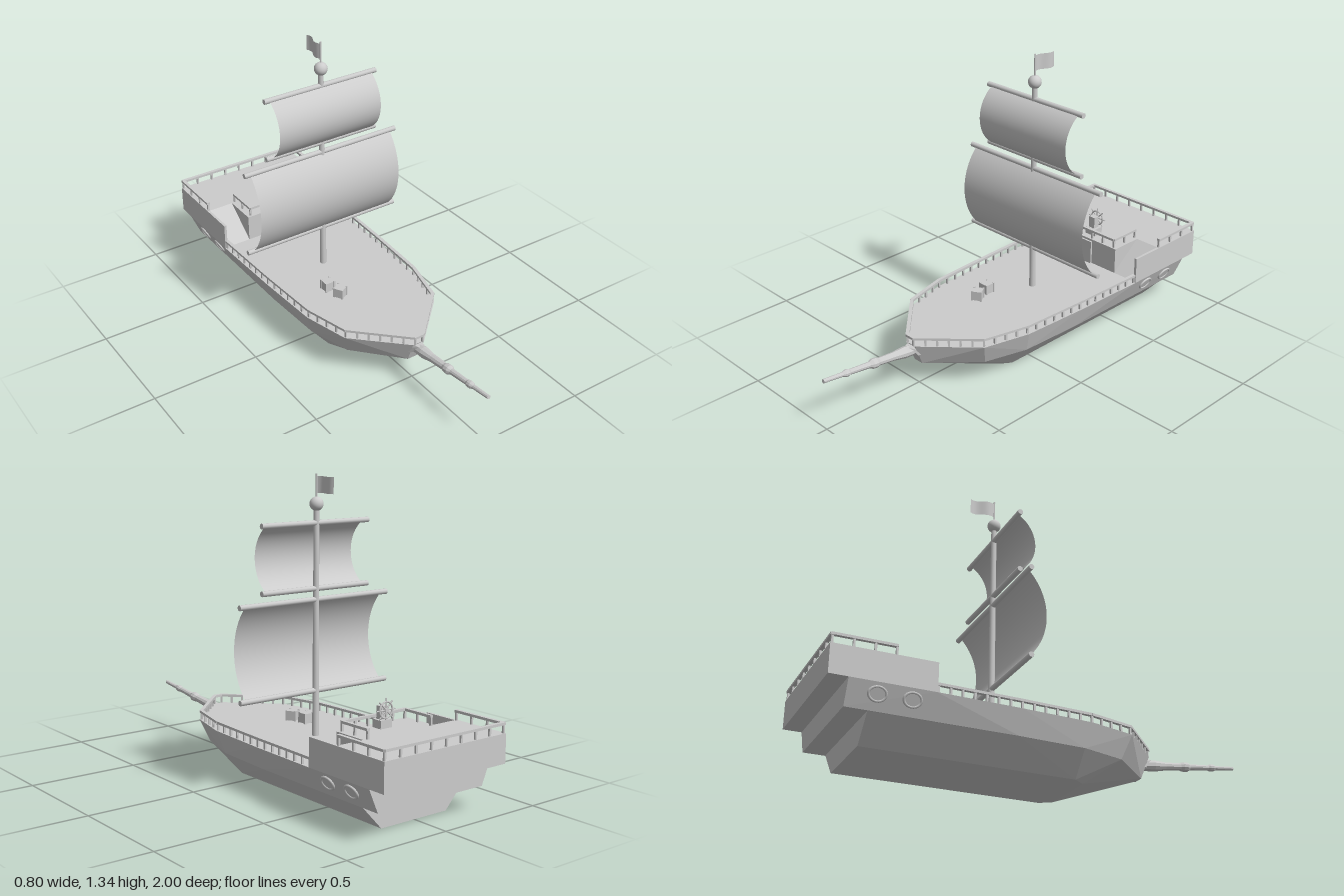
import * as THREE from 'three';
import { ConvexGeometry } from 'three/addons/geometries/ConvexGeometry.js';

const flat = new THREE.MeshStandardMaterial({ color: 0xcccccc, flatShading: true });
const smooth = new THREE.MeshStandardMaterial({ color: 0xcccccc });
const cloth = new THREE.MeshStandardMaterial({ color: 0xcccccc, side: THREE.DoubleSide });

const MAST_Z = -0.205, DECK = 0.21, POOP = 0.335;

function add(parent, name, geometry, material, x = 0, y = 0, z = 0) {
  const mesh = new THREE.Mesh(geometry, material);
  mesh.name = name;
  mesh.position.set(x, y, z);
  parent.add(mesh);
  return mesh;
}

function box(parent, name, w, h, d, x, y, z) {
  return add(parent, name, new THREE.BoxGeometry(w, h, d), flat, x, y, z);
}

// Closed solid between waterlines; each waterline is [y, [halfWidth, z], ...]
function hullBlock(parent, name, waterlines) {
  const points = [];
  for (const [y, ...stations] of waterlines)
    for (const [w, z] of stations)
      for (const s of [-1, 1]) points.push(new THREE.Vector3(s * w, y, z));
  return add(parent, name, new ConvexGeometry(points), flat);
}

// Handrail with posts along a path of [x, z] points
function railing(parent, name, path, y, height, spacing, width) {
  const group = new THREE.Group();
  group.name = name;
  parent.add(group);
  for (let i = 0; i + 1 < path.length; i++) {
    const [x0, z0] = path[i], [x1, z1] = path[i + 1];
    const length = Math.hypot(x1 - x0, z1 - z0);
    const angle = Math.atan2(x1 - x0, z1 - z0);
    const rail = box(group, 'handrail', width, 0.011, length + width * 0.5,
      (x0 + x1) / 2, y + height - 0.0055, (z0 + z1) / 2);
    rail.rotation.y = angle;
    const n = Math.max(1, Math.round(length / spacing));
    const last = i + 2 === path.length ? n : n - 1;
    for (let k = 0; k <= last; k++) {
      const t = k / n;
      const post = box(group, 'railPost', 0.009, height - 0.01, 0.009,
        x0 + (x1 - x0) * t, y + (height - 0.01) / 2, z0 + (z1 - z0) * t);
      post.rotation.y = angle;
    }
  }
}

// Sail bulging forward between two yards
function sail(parent, name, halfWidth, yardHalf, y0, y1, bulge) {
  const geo = new THREE.PlaneGeometry(halfWidth * 2, y1 - y0, 1, 24);
  const pos = geo.attributes.position, h = (y1 - y0) / 2;
  const R = (h * h + bulge * bulge) / (2 * bulge);
  const half = Math.asin(h / R);
  for (let i = 0; i < pos.count; i++) {
    const a = (pos.getY(i) / h) * half;
    pos.setY(i, R * Math.sin(a));
    pos.setZ(i, R * Math.cos(a) - R + bulge);
  }
  geo.computeVertexNormals();
  add(parent, name, geo, cloth, 0, (y0 + y1) / 2, MAST_Z);
  for (const y of [y0, y1]) {
    const yard = add(parent, 'yard', new THREE.CylinderGeometry(0.012, 0.012, yardHalf * 2, 10), smooth, 0, y, MAST_Z);
    yard.rotation.z = Math.PI / 2;
  }
}

export function createModel() {
  const ship = new THREE.Group();
  ship.name = 'sailingShip';

  // Hull in two stepped blocks
  hullBlock(ship, 'lowerHull', [
    [0, [0.175, -0.825], [0.175, 0.1], [0.14, 0.15]],
    [0.107, [0.275, -0.825], [0.275, -0.2], [0.262, 0.1], [0.205, 0.3], [0.025, 0.495]],
  ]);
  hullBlock(ship, 'upperHull', [
    [0.107, [0.28, -0.92], [0.277, -0.2], [0.264, 0.1], [0.207, 0.3], [0.025, 0.5]],
    [DECK, [0.325, -0.92], [0.325, -0.57], [0.315, -0.2], [0.298, 0.12], [0.243, 0.335], [0.03, 0.54]],
  ]);

  // Raised stern deck with two stair wells
  const outline = [[-0.325, -1], [0.325, -1], [0.325, -0.565], [0.313, -0.565], [0.313, -0.73], [0.19, -0.73],
    [0.19, -0.57], [-0.19, -0.57], [-0.19, -0.73], [-0.313, -0.73], [-0.313, -0.565], [-0.325, -0.565]];
  const deckShape = new THREE.Shape(outline.map(([x, z]) => new THREE.Vector2(x, z)));
  const deckGeo = new THREE.ExtrudeGeometry(deckShape, { depth: POOP - DECK, bevelEnabled: false });
  deckGeo.rotateX(Math.PI / 2);
  add(ship, 'sternDeck', deckGeo, flat, 0, POOP, 0);

  // Ramps from the main deck up to the stern deck
  const rampShape = new THREE.Shape([[-0.73, DECK], [-0.57, DECK], [-0.73, POOP]].map((p) => new THREE.Vector2(...p)));
  const rampGeo = new THREE.ExtrudeGeometry(rampShape, { depth: 0.123, bevelEnabled: false });
  rampGeo.rotateY(-Math.PI / 2);
  add(ship, 'leftRamp', rampGeo, flat, 0.313, 0, 0);
  add(ship, 'rightRamp', rampGeo, flat, -0.19, 0, 0);
  box(ship, 'cabinDoor', 0.09, 0.115, 0.012, 0, DECK + 0.0575, -0.567);

  // Portholes lying on the sloped sides
  const ring = new THREE.TorusGeometry(0.035, 0.006, 8, 24);
  const pane = new THREE.CircleGeometry(0.034, 24);
  for (const s of [-1, 1])
    for (const z of [-0.66, -0.8]) {
      const port = new THREE.Group();
      port.name = 'porthole';
      port.position.set(s * 0.308, 0.167, z);
      port.rotation.set(0, s * Math.PI / 2, 0);
      port.rotateX(0.41);
      port.scale.set(1, 0.8, 1);
      add(port, 'portholeRing', ring, smooth);
      add(port, 'portholePane', pane, flat, 0, 0, 0.002);
      ship.add(port);
    }

  // Railings
  const side = [[0.315, -0.56], [0.305, -0.2], [0.288, 0.12], [0.235, 0.33], [0.02, 0.54]];
  const mirrored = side.map(([x, z]) => [-x, z]).reverse();
  railing(ship, 'mainRailing', [...side, ...mirrored], DECK, 0.042, 0.052, 0.016);
  railing(ship, 'sternRailing', [[0.317, -0.735], [0.317, -0.992], [-0.317, -0.992], [-0.317, -0.735]], POOP, 0.045, 0.075, 0.016);
  railing(ship, 'helmRailing', [[0.17, -0.735], [0.17, -0.582], [-0.17, -0.582], [-0.17, -0.735]], POOP, 0.045, 0.075, 0.014);

  // Bowsprit and its mount
  hullBlock(ship, 'bowspritMount', [[0.16, [0.055, 0.47], [0.03, 0.525]], [0.205, [0.03, 0.5], [0.015, 0.56]]]);
  const spar = [[0, 0], [0.022, 0], [0.026, 0.08], [0.019, 0.14], [0.017, 0.22], [0.022, 0.235], [0.022, 0.255],
    [0.014, 0.27], [0.012, 0.37], [0.016, 0.38], [0.016, 0.395], [0.01, 0.41], [0.009, 0.505], [0, 0.505]];
  const sprit = add(ship, 'bowsprit',
    new THREE.LatheGeometry(spar.map((p) => new THREE.Vector2(...p)), 10), flat, 0, 0.175, 0.499);
  sprit.rotation.x = Math.PI / 2 - 0.117;

  // Mast, sails, ball and flag
  add(ship, 'mast', new THREE.CylinderGeometry(0.012, 0.015, 1, 12), smooth, 0, 0.7, MAST_Z);
  sail(ship, 'mainSail', 0.37, 0.4, 0.41, 0.805, 0.082);
  sail(ship, 'topSail', 0.262, 0.287, 0.852, 1.13, 0.082);
  add(ship, 'mastBall', new THREE.SphereGeometry(0.03, 20, 14), smooth, 0, 1.21, MAST_Z);
  add(ship, 'flagPole', new THREE.CylinderGeometry(0.004, 0.004, 0.115, 8), smooth, 0, 1.278, MAST_Z);
  const flagGeo = new THREE.PlaneGeometry(0.115, 0.07, 16, 1);
  flagGeo.rotateY(Math.PI / 2);
  const fp = flagGeo.attributes.position;
  for (let i = 0; i < fp.count; i++) fp.setX(i, -0.01 * Math.sin((0.0575 - fp.getZ(i)) * 52));
  flagGeo.computeVertexNormals();
  add(ship, 'flag', flagGeo, cloth, 0, 1.29, MAST_Z - 0.0575);

  // Crates on the main deck
  for (const [x, z, turn] of [[-0.103, -0.01, 0], [-0.085, 0.065, 0.5]]) {
    const crate = new THREE.Group();
    crate.name = 'crate';
    crate.position.set(x, DECK + 0.024, z);
    crate.rotation.y = turn;
    box(crate, 'crateBody', 0.046, 0.044, 0.046, 0, 0, 0);
    for (const sx of [-1, 1])
      for (const sz of [-1, 1]) box(crate, 'crateCorner', 0.008, 0.048, 0.008, sx * 0.021, 0, sz * 0.021);
    ship.add(crate);
  }

  // Helm: pedestal and spoked wheel
  box(ship, 'helmBase', 0.06, 0.035, 0.05, 0, POOP + 0.0175, -0.63);
  box(ship, 'helmPedestal', 0.034, 0.09, 0.03, 0, POOP + 0.045, -0.628);
  const wheel = new THREE.Group();
  wheel.name = 'helmWheel';
  wheel.position.set(0, 0.41, -0.652);
  add(wheel, 'wheelRim', new THREE.TorusGeometry(0.034, 0.004, 6, 20), smooth);
  for (let i = 0; i < 4; i++) {
    const spoke = add(wheel, 'wheelSpoke', new THREE.CylinderGeometry(0.003, 0.003, 0.1, 6), smooth);
    spoke.rotation.z = (i * Math.PI) / 4;
  }
  const hub = add(wheel, 'wheelHub', new THREE.CylinderGeometry(0.009, 0.009, 0.03, 10), smooth, 0, 0, 0.008);
  hub.rotation.x = Math.PI / 2;
  ship.add(wheel);

  return ship;
}
